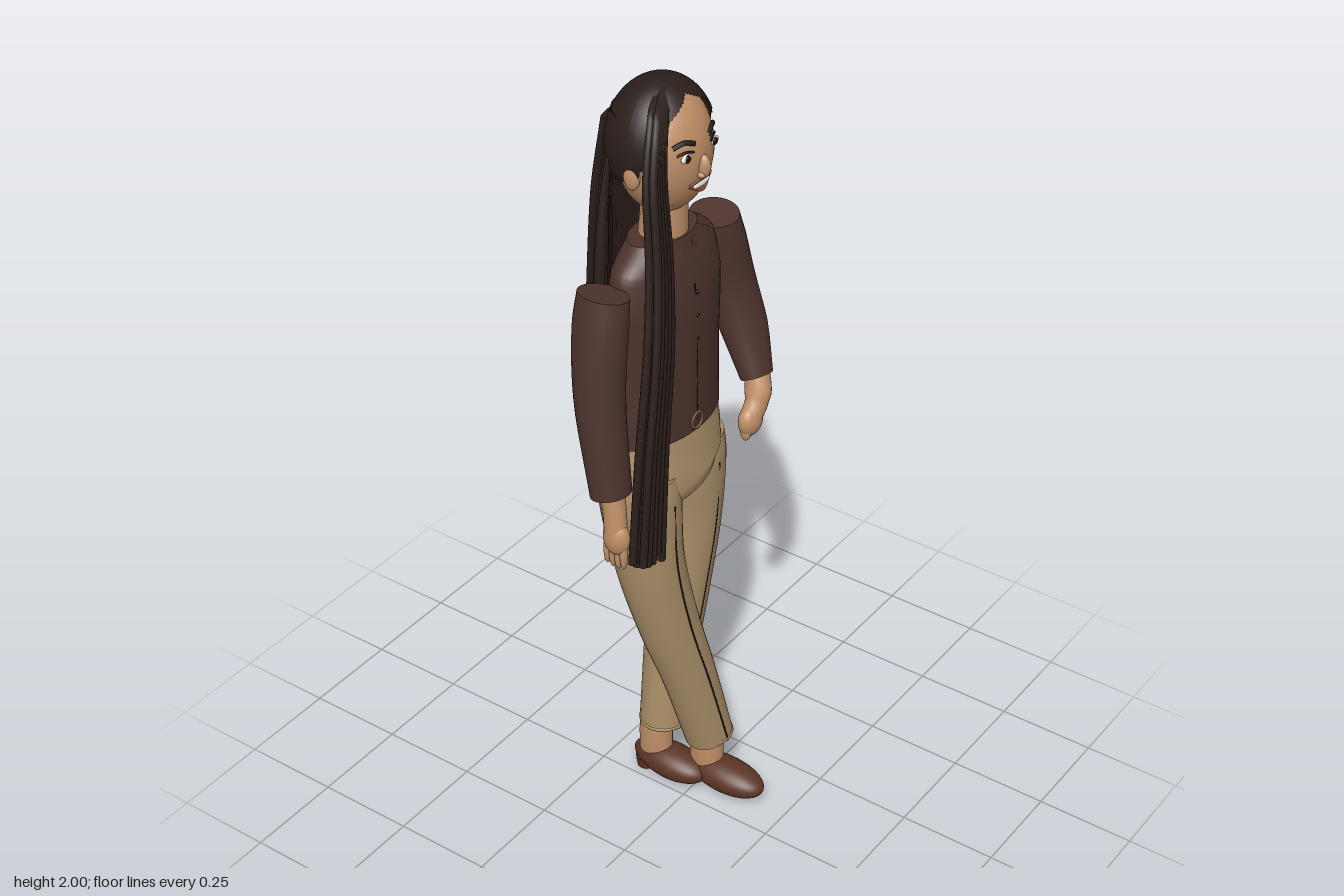
import * as THREE from 'three';

const mat = (color) => new THREE.MeshStandardMaterial({ color, side: THREE.DoubleSide });
const V = (a) => new THREE.Vector3(a[0], a[1], a[2]);
const lerp = THREE.MathUtils.lerp;

// Smooth limb through stations [x, y, z, rx, rz], capped at both ends
function loft(stations, radial = 28, perSpan = 6) {
  const path = new THREE.CatmullRomCurve3(stations.map(V));
  const size = new THREE.CatmullRomCurve3(stations.map((s) => new THREE.Vector3(s[3], s[4], 0)));
  const rows = (stations.length - 1) * perSpan;
  const pos = [], idx = [];
  const ring = (t) => {
    const c = path.getPoint(t), r = size.getPoint(t), tan = path.getTangent(t);
    const s = new THREE.Vector3(1, 0, 0).addScaledVector(tan, -tan.x).normalize();
    const o = new THREE.Vector3().crossVectors(tan, s);
    for (let j = 0; j < radial; j++) {
      const a = (j / radial) * Math.PI * 2;
      const p = c.clone().addScaledVector(s, r.x * Math.cos(a)).addScaledVector(o, r.y * Math.sin(a));
      pos.push(p.x, p.y, p.z);
    }
    return c;
  };
  for (let i = 0; i <= rows; i++) {
    ring(i / rows);
    if (i === rows) break;
    for (let j = 0; j < radial; j++) {
      const a = i * radial + j, b = i * radial + (j + 1) % radial;
      idx.push(a, b, a + radial, b, b + radial, a + radial);
    }
  }
  for (const end of [0, 1]) {
    const base = pos.length / 3, c = ring(end);
    pos.push(c.x, c.y, c.z);
    for (let j = 0; j < radial; j++) {
      const a = base + j, b = base + (j + 1) % radial;
      idx.push(base + radial, end ? a : b, end ? b : a);
    }
  }
  const g = new THREE.BufferGeometry();
  g.setAttribute('position', new THREE.Float32BufferAttribute(pos, 3));
  g.setIndex(idx);
  g.computeVertexNormals();
  return g;
}

const tube = (pts, r, seg = 16) => new THREE.TubeGeometry(new THREE.CatmullRomCurve3(pts.map(V)), seg, r, 6);

export function createModel() {
  const root = new THREE.Group();
  const skin = mat(0xc08f68), hair = mat(0x2a1e1a), shirt = mat(0x4d332d), pants = mat(0xab8f69);
  const shoe = mat(0x5c3626), dark = mat(0x1c1310), white = mat(0xf2eee8), lip = mat(0x8a4a3e), metal = mat(0x6b5138);

  const add = (name, geo, m, parent = root) => {
    const mesh = new THREE.Mesh(geo, m);
    mesh.name = name;
    parent.add(mesh);
    return mesh;
  };
  const ball = (name, m, [x, y, z], [rx, ry, rz], parent = root) => {
    const b = add(name, new THREE.SphereGeometry(1, 28, 20), m, parent);
    b.position.set(x, y, z);
    b.scale.set(rx, ry, rz);
    return b;
  };
  const group = (name) => {
    const g = new THREE.Group();
    g.name = name;
    root.add(g);
    return g;
  };

  // Head and face
  const head = group('head');
  ball('face', skin, [0, 1.835, -0.05], [0.115, 0.15, 0.105], head);
  add('neck', loft([[0, 1.74, -0.05, 0.052, 0.052], [0, 1.66, -0.052, 0.054, 0.054], [0, 1.6, -0.055, 0.062, 0.056]]), skin, head);
  const faceZ = (x, y) => -0.05 + 0.105 * Math.sqrt(1 - (x / 0.115) ** 2 - ((y - 1.835) / 0.15) ** 2);
  for (const s of [1, -1]) {
    const x = 0.05 * s, z = faceZ(x, 1.855);
    ball('eye', white, [x, 1.855, z], [0.018, 0.01, 0.006], head);
    ball('iris', dark, [x, 1.855, z + 0.004], [0.009, 0.009, 0.005], head);
    const arc = (y, bow, w) => [-1, 0, 1].map((k) => {
      const px = x + k * w, py = y + (k ? 0 : bow);
      return [px, py, faceZ(px, py) + 0.001];
    });
    add('eyelid', tube(arc(1.864, 0.005, 0.019), 0.003), dark, head);
    add('eyebrow', tube(arc(1.882, 0.008, 0.024), 0.006), hair, head);
    ball('ear', skin, [0.118 * s, 1.812, -0.05], [0.014, 0.032, 0.02], head);
    ball('nostrilWing', skin, [0.011 * s, 1.803, 0.055], [0.009, 0.008, 0.01], head);
  }
  ball('nose', skin, [-0.002, 1.82, 0.055], [0.014, 0.028, 0.017], head);
  ball('teeth', white, [0, 1.777, 0.047], [0.03, 0.009, 0.006], head);
  for (const [name, y, bow] of [['upperLip', 1.784, 0.006], ['lowerLip', 1.774, -0.011]])
    add(name, tube([[-0.037, 1.781, 0.041], [0, y + bow, 0.05], [0.037, 1.781, 0.041]], 0.005), lip, head);

  // Hair cap: an ellipsoid whose lower edge rises to the hairline in front
  const hairline = [[0, 0.58], [0.66, 0.93], [1.13, 1.47], [1.4, 2.01], [3.2, 2.01]];
  const edge = (az) => {
    const i = hairline.findIndex((h, k) => k && az <= h[0]);
    const [a, b] = [hairline[i - 1], hairline[i]];
    return lerp(a[1], b[1], (az - a[0]) / (b[0] - a[0]));
  };
  const cap = new THREE.SphereGeometry(1, 64, 24);
  for (let i = 0; i < cap.attributes.position.count; i++) {
    const phi = cap.attributes.uv.getX(i) * Math.PI * 2;
    const th = (1 - cap.attributes.uv.getY(i)) * edge(Math.acos(THREE.MathUtils.clamp(Math.sin(phi), -1, 1)));
    cap.attributes.position.setXYZ(i, -0.13 * Math.cos(phi) * Math.sin(th), 1.85 + 0.15 * Math.cos(th),
      -0.06 + 0.119 * Math.sin(phi) * Math.sin(th));
  }
  cap.computeVertexNormals();
  const hairGroup = group('hair');
  add('hairCap', cap, hair, hairGroup);

  // Long back hair: a solid sheet with separate locks over it
  add('hairSheet', loft([[0, 1.91, -0.15, 0.09, 0.016], [0, 1.75, -0.162, 0.115, 0.014],
    [0, 1.5, -0.163, 0.14, 0.012], [0, 1.25, -0.164, 0.155, 0.009]]), hair, hairGroup);
  let seed = 7;
  const rand = () => (seed = (seed * 16807) % 2147483647) / 2147483647;
  const locks = 30;
  for (let i = 0; i < locks; i++) {
    const u = (i / (locks - 1)) * 2 - 1, wrap = 0.045 * Math.abs(u) ** 3;
    const low = 1.0 + 0.14 * rand(), z = -0.168 + wrap + 0.006 * (i % 2);
    add('backLock', loft([[u * 0.09, 1.93, -0.15 + wrap, 0.009, 0.009], [u * 0.115, 1.78, z, 0.009, 0.009],
      [u * 0.15, 1.45, z, 0.009, 0.009], [u * 0.18 + 0.008 * (rand() - 0.5), low, z, 0.006, 0.007]], 7, 4), hair, hairGroup);
  }
  // Side locks falling over the right shoulder
  const fall = [[-0.02, 1.985, -0.04], [-0.085, 1.945, -0.005], [-0.125, 1.83, 0.015], [-0.145, 1.65, 0.04],
    [-0.175, 1.45, 0.06], [-0.212, 1.2, 0.066], [-0.235, 0.93, 0.066]];
  for (let i = 0; i < 10; i++) {
    const dx = (i % 5) / 2 - 1, dz = i < 5 ? 0.5 : -0.5, drop = 0.04 * rand();
    add('sideLock', loft(fall.map(([x, y, z], k) => {
      const spread = k / 6;
      return [x + dx * (0.008 + 0.027 * spread), y - (k === 6 ? drop - 0.01 : 0), z + dz * (0.012 + 0.018 * spread), 0.01, 0.01];
    }), 7, 4), hair, hairGroup);
  }

  // Shirt
  const top = group('shirt');
  add('shirtBody', loft([[0, 1.63, -0.057, 0.1, 0.062], [0, 1.575, -0.055, 0.165, 0.075], [0, 1.48, -0.052, 0.178, 0.09],
    [0, 1.3, -0.05, 0.166, 0.092], [0, 1.14, -0.052, 0.172, 0.094]], 40), shirt, top);
  for (const s of [1, -1]) {
    const flap = new THREE.Shape([[0.015, 0.03], [0.06, 0.055], [0.105, 0.03], [0.07, -0.03]].map(([x, y]) => new THREE.Vector2(x * s, y)));
    const collar = add('collar', new THREE.ExtrudeGeometry(flap, { depth: 0.008, bevelEnabled: false }), shirt, top);
    collar.position.set(0, 1.58, 0.016);
    collar.rotation.set(-0.32, 0.2 * s, 0);
  }
  for (let i = 0; i < 6; i++) ball('button', dark, [0, 1.5 - 0.06 * i, 0.039], [0.005, 0.005, 0.004], top);
  add('placket', tube([[-0.003, 1.52, 0.033], [-0.003, 1.35, 0.039], [-0.003, 1.16, 0.04]], 0.003), dark, top);
  const buckle = add('buckle', new THREE.TorusGeometry(0.02, 0.004, 8, 24), metal, top);
  buckle.position.set(-0.005, 1.165, 0.043);

  // Sleeves, cuffs and hands
  add('leftSleeve', loft([[0.205, 1.572, -0.06, 0.05, 0.062], [0.222, 1.5, -0.06, 0.058, 0.068], [0.245, 1.38, -0.045, 0.064, 0.062],
    [0.25, 1.27, -0.005, 0.062, 0.052], [0.232, 1.16, 0.045, 0.044, 0.036]]), shirt, top);
  add('rightSleeve', loft([[-0.212, 1.565, -0.06, 0.05, 0.062], [-0.226, 1.48, -0.06, 0.056, 0.066], [-0.246, 1.32, -0.05, 0.058, 0.058],
    [-0.264, 1.09, -0.01, 0.052, 0.045]]), shirt, top);
  const leftHand = group('leftHand');
  add('leftWrist', loft([[0.236, 1.18, 0.045, 0.03, 0.027], [0.21, 1.11, 0.062, 0.03, 0.027], [0.18, 1.07, 0.062, 0.03, 0.025]], 20), skin, leftHand);
  ball('leftPalm', skin, [0.183, 1.068, 0.062], [0.036, 0.04, 0.026], leftHand);
  for (let i = 0; i < 4; i++) ball('finger', skin, [0.163 + 0.013 * i, 1.045 + 0.003 * i, 0.062], [0.009, 0.024, 0.014], leftHand);
  const rightHand = group('rightHand');
  add('rightWrist', loft([[-0.265, 1.12, -0.008, 0.032, 0.03], [-0.272, 1.05, 0.005, 0.027, 0.027], [-0.277, 0.985, 0.012, 0.026, 0.028]], 20), skin, rightHand);
  ball('rightPalm', skin, [-0.278, 0.985, 0.014], [0.025, 0.045, 0.034], rightHand);
  for (let i = 0; i < 4; i++) ball('finger', skin, [-0.28, 0.94 + 0.004 * Math.abs(i - 1.5), -0.01 + 0.015 * i], [0.011, 0.04, 0.009], rightHand);
  ball('thumb', skin, [-0.255, 0.975, 0.035], [0.01, 0.034, 0.01], rightHand);

  // Trousers: hips and crossed legs
  const trousers = group('trousers');
  add('hips', loft([[0, 1.16, -0.053, 0.166, 0.088], [0, 1.08, -0.055, 0.176, 0.1], [0, 1.02, -0.055, 0.176, 0.108],
    [0.01, 0.98, -0.055, 0.14, 0.102]], 40), pants, trousers);
  const legs = {
    left: [[0.1, 1.04, -0.065, 0.088, 0.092], [0.104, 0.98, -0.065, 0.092, 0.096], [0.113, 0.8, -0.071, 0.081, 0.088],
      [0.103, 0.6, -0.082, 0.076, 0.077], [0.08, 0.4, -0.092, 0.07, 0.068], [0.055, 0.17, -0.099, 0.062, 0.06]],
    right: [[-0.1, 1.04, -0.055, 0.088, 0.095], [-0.1, 0.98, -0.052, 0.092, 0.1], [-0.09, 0.8, -0.036, 0.084, 0.085],
      [-0.047, 0.6, -0.016, 0.079, 0.072], [0.01, 0.4, 0.008, 0.07, 0.064], [0.071, 0.175, 0.027, 0.062, 0.06]],
  };
  for (const [side, st] of Object.entries(legs)) {
    add(side + 'Leg', loft(st), pants, trousers);
    add(side + 'Crease', tube(st.slice(1).map(([x, y, z, , rz]) => [x, y, z + rz - 0.0015]), 0.003, 40), dark, trousers);
    const [x, y, z, rx, rz] = st[5];
    const hem = add(side + 'Hem', new THREE.TorusGeometry(1, 0.07, 8, 32), pants, trousers);
    hem.rotation.x = Math.PI / 2;
    hem.position.set(x, y + 0.006, z);
    hem.scale.set(rx * 0.96, rz * 0.96, 0.08);
  }

  // Ankles and shoes
  const foot = (side, x, zAnkle, zShoe, len) => {
    const g = group(side + 'Foot');
    add('ankle', loft([[x, 0.2, zAnkle, 0.036, 0.042], [x, 0.13, zAnkle, 0.038, 0.044], [x, 0.06, zAnkle, 0.036, 0.045]], 20), skin, g);
    const upper = new THREE.SphereGeometry(1, 36, 24), p = upper.attributes.position;
    for (let i = 0; i < p.count; i++) // flat sole, wider toe, lower toward the tip
      p.setXYZ(i, p.getX(i) * (0.052 + 0.005 * p.getZ(i)), 0.05 + Math.max(p.getY(i) * 0.043, -0.037) - 0.003 * p.getZ(i), p.getZ(i) * len);
    upper.computeVertexNormals();
    add('shoe', upper, shoe, g).position.set(x, 0, zShoe);
    const heel = add('heel', new THREE.CylinderGeometry(0.028, 0.024, 0.03, 20), shoe, g);
    heel.position.set(x, 0.015, zShoe - len * 0.7);
  };
  foot('right', 0.08, 0.016, 0.07, 0.115);
  foot('left', 0.044, -0.115, -0.07, 0.108);

  return root;
}
